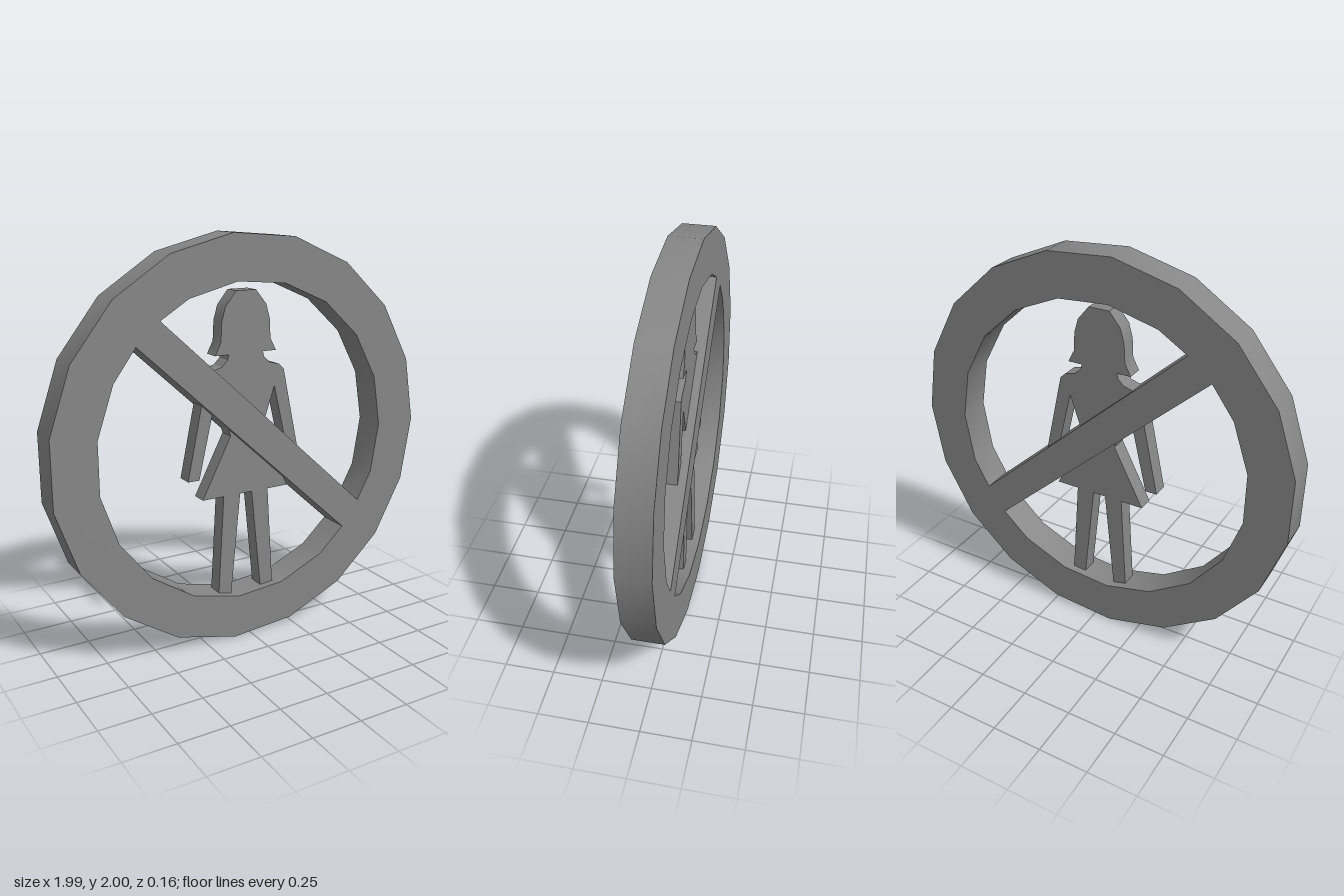
import * as THREE from 'three';
import { toCreasedNormals } from 'three/addons/utils/BufferGeometryUtils.js';

const SIDES = 19, CX = -0.007, CY = 1, OUTER = 1.0034, INNER = 0.784;
const material = new THREE.MeshStandardMaterial({ color: 0x868686 });

// Corners first..last of a 19-sided ring outline
function arc(radius, first, last) {
  const points = [];
  for (let k = first; k <= last; k++) {
    const a = (k / SIDES) * Math.PI * 2;
    points.push(new THREE.Vector2(CX + radius * Math.cos(a), CY + radius * Math.sin(a)));
  }
  return points;
}

// Flat plate centred on z = 0, smooth around the gentle bends
function plate(name, shape, depth) {
  const geometry = new THREE.ExtrudeGeometry(shape, { depth, bevelEnabled: false });
  geometry.translate(0, 0, -depth / 2);
  const mesh = new THREE.Mesh(toCreasedNormals(geometry, Math.PI / 7), material);
  mesh.name = name;
  return mesh;
}

export function createModel() {
  const group = new THREE.Group();
  group.name = 'prohibitionSign';

  // Ring and diagonal bar: one plate with the two openings beside the bar
  const sign = new THREE.Shape(arc(OUTER, 0, SIDES - 1));
  const v = (x, y) => new THREE.Vector2(x, y);
  sign.holes.push(
    new THREE.Path([...arc(INNER, -1, 6), v(-0.465, 1.63), v(0.655, 0.6)]),
    new THREE.Path([...arc(INNER, 8, 16), v(0.56, 0.47), v(-0.585, 1.525)])
  );
  group.add(plate('ringAndBar', sign, 0.16));

  // Figure: half outline from head to crotch, mirrored
  const half = [
    [0.053, 1.735], [0.11, 1.665], [0.13, 1.595], [0.135, 1.5], [0.166, 1.44], // hair
    [0.093, 1.44], [0.1, 1.415], [0.13, 1.385], [0.185, 1.37], [0.212, 1.345], // neck, shoulder
    [0.317, 0.85], [0.257, 0.85], [0.16, 1.265],                               // arm
    [0.085, 1.045], [0.24, 0.745],                                             // waist, skirt
    [0.125, 0.745], [0.157, 0.22], [0.086, 0.22], [0.033, 0.745]               // leg
  ];
  const axis = -0.005;
  const outline = [
    ...half.map(([x, y]) => v(axis + x, y)),
    ...half.map(([x, y]) => v(axis - x, y)).reverse()
  ];
  group.add(plate('womanFigure', new THREE.Shape(outline), 0.08));

  return group;
}
